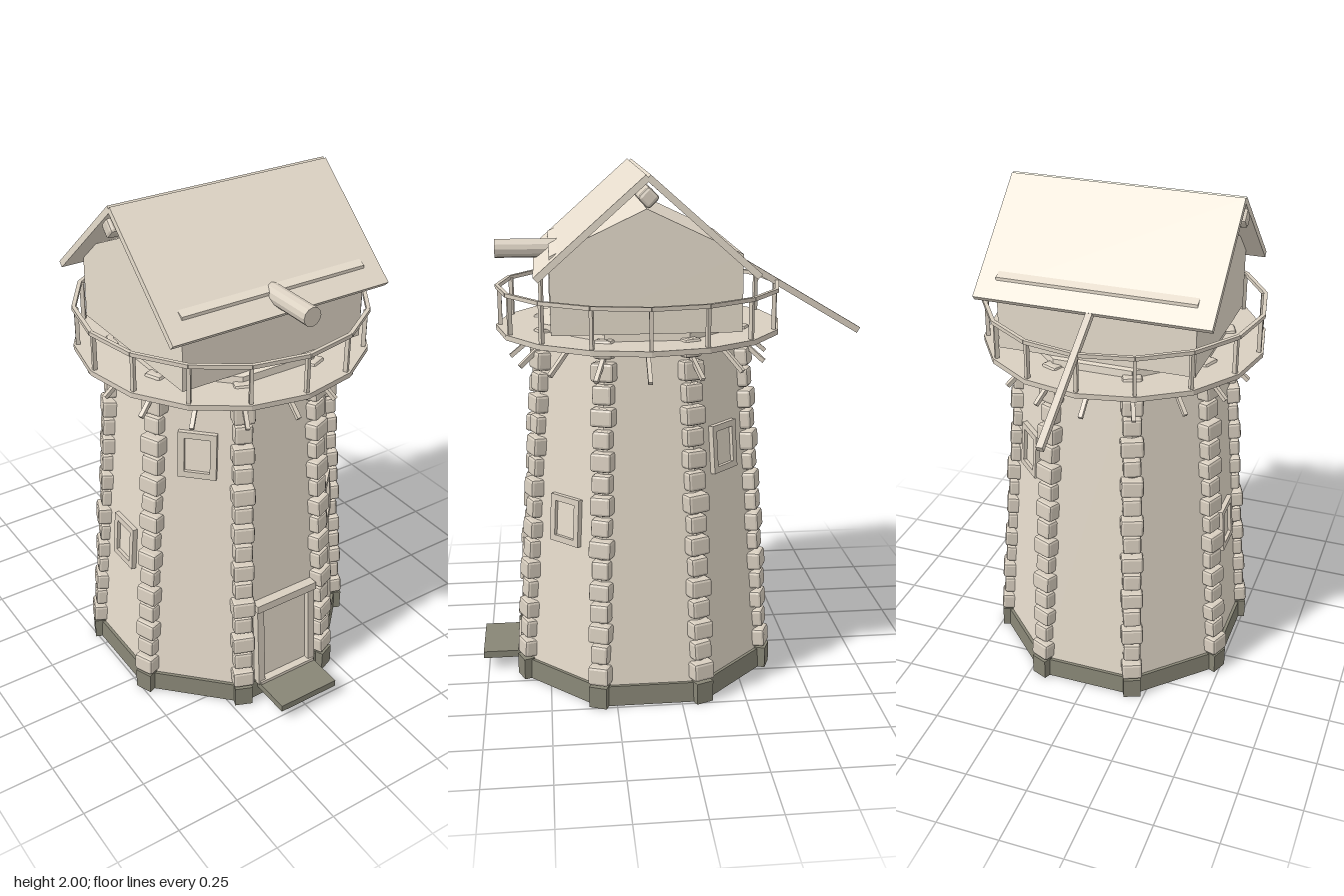
import * as THREE from 'three';
import { RoundedBoxGeometry } from 'three/addons/geometries/RoundedBoxGeometry.js';

const CZ = 0.118; // z of the tower axis
const cornerR = (y) => 0.516 - 0.0776 * y;
const wallR = (y) => cornerR(y) * Math.cos(Math.PI / 8);
const LEAN = -0.072;

export function createModel() {
  const model = new THREE.Group();
  model.name = 'windmill';
  const material = (name, color) => {
    const m = new THREE.MeshStandardMaterial({ color });
    m.name = name;
    return m;
  };
  const cream = material('cream plaster', 0xe7ddcd);
  const timber = material('weathered timber and stone', 0xd9cfc0);
  const dark = material('dark footing stone', 0x888676);
  const black = material('black underside', 0x3a3a38);

  let seed = 7;
  const rand = () => {
    seed = (seed * 16807) % 2147483647;
    return seed / 2147483647 - 0.5;
  };

  // Facet a geometry, keeping its groups, and add it as a named mesh
  const add = (parent, name, geo, x, y, z, mat) => {
    const flat = geo.index ? geo.toNonIndexed() : geo;
    flat.computeVertexNormals();
    const mesh = new THREE.Mesh(flat, mat);
    mesh.name = name;
    mesh.position.set(x, y, z);
    parent.add(mesh);
    return mesh;
  };
  const box = (parent, name, w, h, d, x, y, z, mat) =>
    add(parent, name, new THREE.BoxGeometry(w, h, d), x, y, z, mat);
  // Square bar between two points
  const up = new THREE.Vector3(0, 1, 0);
  const bar = (parent, name, a, b, t) => {
    const mesh = box(parent, name, t, t, a.distanceTo(b), 0, 0, 0, timber);
    mesh.position.copy(a).add(b).multiplyScalar(0.5);
    mesh.quaternion.setFromRotationMatrix(new THREE.Matrix4().lookAt(b, a, up));
  };
  const polar = (a, r, y) => new THREE.Vector3(Math.sin(a) * r, y, Math.cos(a) * r);
  // Group turned to a compass angle, its z axis pointing outwards
  const outward = (parent, name, a, r, y, lean = 0) => {
    const g = new THREE.Group();
    g.name = name;
    g.position.copy(polar(a, r, y));
    g.rotation.set(lean, a, 0, 'YXZ');
    parent.add(g);
    return g;
  };

  const tower = new THREE.Group();
  tower.name = 'tower';
  tower.position.z = CZ;
  model.add(tower);

  // Tapered octagonal wall and footing with a black underside
  const H = 1.43;
  add(tower, 'wall', new THREE.CylinderGeometry(cornerR(H), cornerR(0.04), H - 0.04, 8).rotateY(Math.PI / 8), 0, (H + 0.04) / 2, 0, cream);
  add(tower, 'footing', new THREE.CylinderGeometry(0.523, 0.527, 0.08, 8).rotateY(Math.PI / 8), 0, 0.04, 0, [dark, dark, black]);

  // Corner stones, alternating wide and narrow
  for (let i = 0; i < 8; i++) {
    const a = (i + 0.5) * Math.PI / 4;
    const foot = outward(tower, 'footingCorner', a, 0.515, 0.0425);
    box(foot, 'footingCornerBlock', 0.07, 0.085, 0.05, 0, 0, 0, dark);
    const column = new THREE.Group();
    column.name = 'cornerStones';
    tower.add(column);
    for (let k = 0; k < 16; k++) {
      const y = 0.127 + k * 0.0833;
      const wide = k % 2 ? 0.073 : 0.086;
      const stone = outward(column, 'cornerStone', a, cornerR(y) - 0.004 + rand() * 0.006, y, LEAN);
      stone.rotation.z = rand() * 0.06;
      add(stone, 'stoneBlock', new RoundedBoxGeometry(wide + rand() * 0.008, 0.072 + rand() * 0.006, wide - 0.012 + rand() * 0.008, 1, 0.011), 0, 0, 0, timber);
    }
  }

  // Framed window on one wall face
  const addWindow = (a, y) => {
    const g = outward(tower, 'window', a, wallR(y), y, LEAN);
    box(g, 'windowPane', 0.1, 0.15, 0.008, 0, 0, 0.002, cream);
    for (const s of [-1, 1]) {
      box(g, 'windowJamb', 0.024, 0.185, 0.036, s * 0.06, 0, 0.002, timber);
      box(g, 'windowRail', 0.096, 0.024, 0.036, 0, s * 0.0805, 0.002, timber);
    }
  };
  addWindow(-Math.PI / 4, 1.105);
  addWindow(Math.PI / 4, 0.7);
  addWindow(3 * Math.PI / 4, 0.97);
  addWindow(-Math.PI / 2, 0.6);

  // Door with frame, threshold and step
  const door = outward(tower, 'door', 0, wallR(0.25), 0.25, LEAN);
  box(door, 'doorPanel', 0.22, 0.36, 0.008, 0, 0, 0.004, cream);
  for (const s of [-1, 1]) box(door, 'doorJamb', 0.03, 0.36, 0.045, s * 0.122, 0, 0.01, timber);
  box(door, 'doorLintel', 0.28, 0.032, 0.055, 0, 0.193, 0.013, timber);
  box(door, 'threshold', 0.26, 0.022, 0.055, 0, -0.176, 0.013, timber);
  box(tower, 'doorStep', 0.264, 0.028, 0.2, 0, 0.062, 0.552, dark);

  // Gallery deck with a dark underside, railing and braces
  const gallery = new THREE.Group();
  gallery.name = 'gallery';
  tower.add(gallery);
  add(gallery, 'deck', new THREE.CylinderGeometry(0.555, 0.555, 0.02, 16), 0, 1.392, 0, [timber, timber, dark]);
  for (let i = 0; i < 16; i++) {
    const a = i * Math.PI / 8;
    const b = a + Math.PI / 8;
    bar(gallery, 'handrail', polar(a, 0.547, 1.55), polar(b, 0.547, 1.55), 0.015);
    const post = outward(gallery, 'railPost', a, 0.538, 1.475);
    box(post, 'railPostBar', 0.013, 0.15, 0.016, 0, 0, 0, timber);
    bar(gallery, 'brace', polar(a, 0.37, 1.385), polar(a, 0.503, 1.275), 0.016);
  }

  // Cap with a five-sided gable
  const cap = new THREE.Group();
  cap.name = 'cap';
  cap.position.z = CZ;
  model.add(cap);
  const outline = (points) => new THREE.Shape(points.map((p) => new THREE.Vector2(...p)));
  const gable = outline([[-0.347, 1.43], [0.347, 1.43], [0.347, 1.713], [0, 1.877], [-0.347, 1.713]]);
  add(cap, 'capBody', new THREE.ExtrudeGeometry(gable, { depth: 0.77, bevelEnabled: false }).translate(0, 0, -0.385).rotateY(Math.PI / 2), 0, 0, 0, cream);

  // Two sloping roof boards with a notch along the ridge
  const slope = outline([[0.008, 2], [0.405, 1.65], [0.388, 1.632], [-0.008, 1.982]]);
  for (const s of [-1, 1]) {
    const geo = new THREE.ExtrudeGeometry(slope, { depth: 0.912, bevelEnabled: false });
    add(cap, 'roofBoard', geo.translate(0, 0, -0.456).rotateY(s * Math.PI / 2), 0, 0, 0, cream);
  }
  add(cap, 'ridgeBeam', new RoundedBoxGeometry(0.936, 0.058, 0.058, 1, 0.012).rotateX(Math.PI / 4), 0, 1.922, 0, timber);

  // Sail shaft at the front and tail pole at the back
  add(cap, 'sailShaft', new THREE.CylinderGeometry(0.036, 0.036, 0.3, 12).rotateX(Math.PI / 2), 0, 1.695, 0.4, timber);
  bar(cap, 'tailPole', new THREE.Vector3(0, 1.69, -0.31), new THREE.Vector3(0, 1.35, -0.88), 0.025);

  return model;
}
